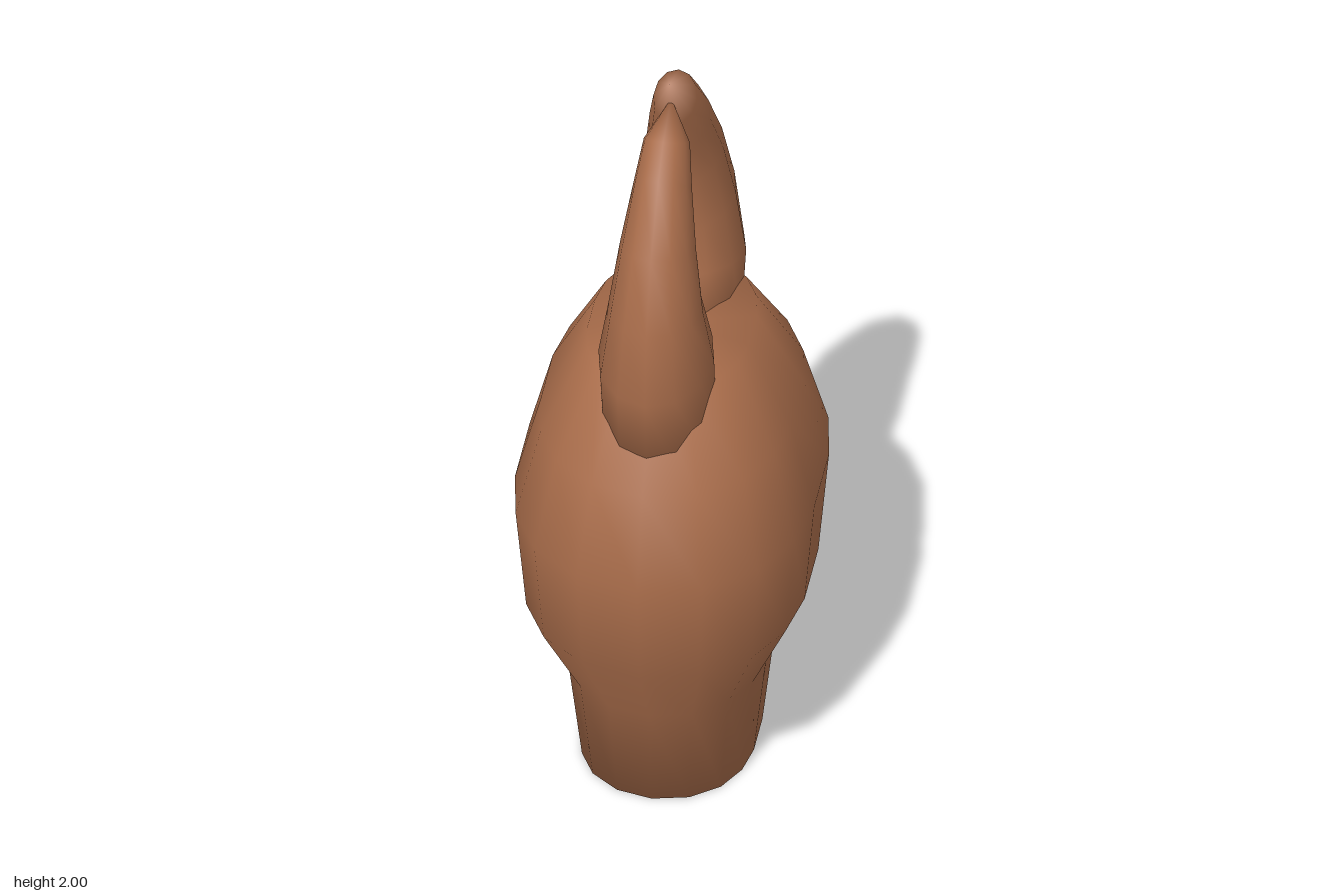
import * as THREE from 'three';

// Smooth skin over closed rings stacked upwards; each end closes on its own centre point
function loft(rings, tip) {
  const n = rings[0].length;
  const points = rings.flat();
  const middle = (ring) => ring.reduce((sum, p) => sum.add(p), new THREE.Vector3()).divideScalar(n);
  const bottom = points.push(middle(rings[0])) - 1;
  const top = points.push(tip || middle(rings[rings.length - 1])) - 1;
  const last = (rings.length - 1) * n;
  const index = [];
  for (let i = 0; i < n; i++) {
    const j = (i + 1) % n;
    for (let r = 0; r < last; r += n) {
      index.push(r + i, r + j, r + n + i, r + j, r + n + j, r + n + i);
    }
    index.push(bottom, j, i, top, last + i, last + j);
  }
  const geometry = new THREE.BufferGeometry().setFromPoints(points);
  geometry.setIndex(index);
  geometry.computeVertexNormals();
  return geometry;
}

// Palm outline: one quarter of a slightly squared oval, mirrored to a full ring
const quarter = [[0, 1], [0.42, 0.93], [0.745, 0.745], [0.93, 0.49], [1, 0.21]];
const half = [...quarter, ...quarter.map(([x, z]) => [x, -z]).reverse()];
const oval = [...half, ...half.slice(1, -1).map(([x, z]) => [-x, z]).reverse()];

function palmGeometry() {
  // height, half width, half depth
  const profile = [
    [0, 0.213, 0.297], [0.29, 0.245, 0.345], [0.51, 0.345, 0.48],
    [0.8, 0.37, 0.515], [1.03, 0.31, 0.435], [1.24, 0.2, 0.28],
  ];
  return loft(profile.map(([y, w, d]) => oval.map(([x, z]) => new THREE.Vector3(x * w, y, z * d))));
}

// Finger sections: front z, front y, back z, back y, half width
function fingerGeometry(sections, tip) {
  const sides = 12;
  const rings = sections.map(([zf, yf, zb, yb, w]) => Array.from({ length: sides }, (_, i) => {
    const a = (i / sides) * Math.PI * 2;
    const t = (1 + Math.cos(a)) / 2;
    return new THREE.Vector3(
      Math.sin(a) * w,
      THREE.MathUtils.lerp(yb, yf, t),
      THREE.MathUtils.lerp(zb, zf, t),
    );
  }));
  return loft(rings, new THREE.Vector3(0, tip[1], tip[0]));
}

export function createModel() {
  const shell = new THREE.MeshStandardMaterial({ color: 0xa86c4a });
  shell.name = 'brownShell';
  const group = new THREE.Group();
  group.name = 'claw';
  const add = (name, geometry) => {
    const mesh = new THREE.Mesh(geometry, shell);
    mesh.name = name;
    group.add(mesh);
  };

  add('palm', palmGeometry());

  // Shorter front finger, curving back towards the middle
  add('frontFinger', fingerGeometry([
    [0.37, 1.04, 0.0, 1.2, 0.14],
    [0.4, 1.28, 0.06, 1.34, 0.143],
    [0.38, 1.48, 0.1, 1.45, 0.117],
    [0.31, 1.66, 0.1, 1.6, 0.094],
    [0.2, 1.82, 0.07, 1.71, 0.072],
    [0.13, 1.89, 0.02, 1.82, 0.057],
  ], [0.01, 1.935]));

  // Longer back finger, its point hooking over the front one
  add('backFinger', fingerGeometry([
    [0.0, 1.2, -0.37, 1.04, 0.14],
    [-0.06, 1.34, -0.395, 1.28, 0.145],
    [-0.09, 1.45, -0.375, 1.5, 0.119],
    [-0.085, 1.6, -0.29, 1.69, 0.096],
    [-0.055, 1.72, -0.18, 1.85, 0.075],
    [0.005, 1.85, -0.1, 1.94, 0.054],
  ], [0.04, 2.0]));

  return group;
}
